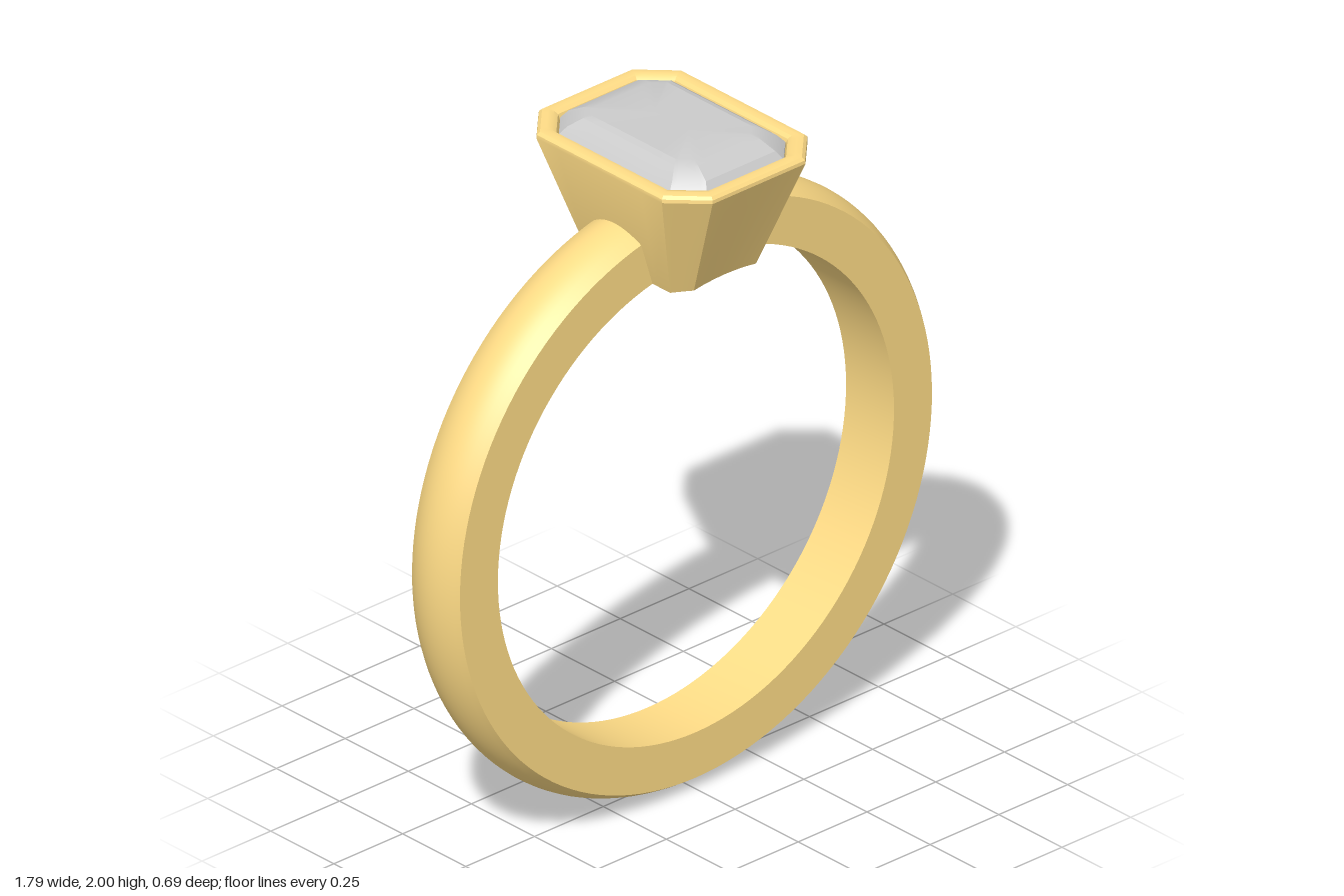
import * as THREE from 'three';
import { toCreasedNormals } from 'three/addons/utils/BufferGeometryUtils.js';

const BAND_Y = 0.897, INNER_R = 0.72, HALF_W = 0.095;
const SIDE_STEPS = 6;

// Rectangle with cut corners, counter-clockwise seen from above, each side subdivided.
// Without a y the loop follows the finger hole of the band.
function octagon([hx, hz, cut, y]) {
  const corners = [
    [hx, hz - cut], [hx, cut - hz], [hx - cut, -hz], [cut - hx, -hz],
    [-hx, cut - hz], [-hx, hz - cut], [cut - hx, hz], [hx - cut, hz],
  ];
  const loop = [];
  corners.forEach(([x0, z0], i) => {
    const [x1, z1] = corners[(i + 1) % 8];
    for (let k = 0; k < SIDE_STEPS; k++) {
      const t = k / SIDE_STEPS, x = x0 + (x1 - x0) * t, z = z0 + (z1 - z0) * t;
      loop.push([x, y ?? BAND_Y + Math.sqrt(INNER_R ** 2 - x * x), z]);
    }
  });
  return loop;
}

// Skin a list of cut-corner sections; closed joins the last back to the first.
function loft(sections, closed, crease) {
  const loops = sections.map(octagon), n = loops[0].length;
  const index = [], rows = closed ? loops.length : loops.length - 1;
  for (let i = 0; i < rows; i++) {
    const next = (i + 1) % loops.length;
    for (let j = 0; j < n; j++) {
      const k = (j + 1) % n;
      const a = i * n + j, b = i * n + k, c = next * n + k, d = next * n + j;
      index.push(a, b, c, a, c, d);
    }
  }
  const geometry = new THREE.BufferGeometry();
  geometry.setAttribute('position', new THREE.Float32BufferAttribute(loops.flat(2), 3));
  geometry.setIndex(index);
  return toCreasedNormals(geometry, crease);
}

// Domed band, left open where it runs into the bezel wall
function bandGeometry() {
  const profile = [new THREE.Vector2(INNER_R, -HALF_W)];
  for (let i = 0; i <= 12; i++) {
    const t = i / 6 - 1;
    profile.push(new THREE.Vector2(0.858 + 0.035 * (1 - t * t), t * HALF_W));
  }
  profile.push(new THREE.Vector2(INNER_R, HALF_W), new THREE.Vector2(INNER_R, -HALF_W));
  const gap = 0.175;
  const geometry = new THREE.LatheGeometry(profile, 128, gap, Math.PI * 2 - gap * 2);
  geometry.rotateX(-Math.PI / 2);
  geometry.translate(0, BAND_Y, 0);
  geometry.deleteAttribute('uv');
  geometry.deleteAttribute('normal');
  return toCreasedNormals(geometry, 0.5);
}

export function createModel() {
  const group = new THREE.Group();
  const gold = new THREE.MeshStandardMaterial({ color: 0xffdc86 });
  const grey = new THREE.MeshStandardMaterial({ color: 0xcccccc });
  const add = (name, geometry, material) => {
    const mesh = new THREE.Mesh(geometry, material);
    mesh.name = name;
    group.add(mesh);
  };

  add('band', bandGeometry(), gold);

  // Tapered hollow setting: outer wall, rounded rim, inner wall, curved underside
  // Each section: half width, half depth, corner cut, height
  add('bezel', loft([
    [0.158, 0.21, 0.045],
    [0.265, 0.345, 0.096, 1.945],
    [0.264, 0.344, 0.096, 1.955],
    [0.256, 0.336, 0.092, 1.963],
    [0.24, 0.32, 0.085, 1.966],
    [0.226, 0.306, 0.078, 1.963],
    [0.216, 0.296, 0.073, 1.955],
    [0.212, 0.292, 0.071, 1.943],
    [0.205, 0.285, 0.068, 1.9],
    [0.075, 0.125, 0.05],
  ], true, 0.45), gold);

  // Step-cut stone: keel, pavilion, girdle, crown steps and table
  add('gemstone', loft([
    [0, 0.08, 0, 1.72],
    [0.11, 0.19, 0.04, 1.8],
    [0.21, 0.29, 0.07, 1.925],
    [0.21, 0.29, 0.07, 1.947],
    [0.19, 0.272, 0.064, 1.97],
    [0.157, 0.225, 0.045, 1.994],
    [0.138, 0.2, 0.035, 2],
    [0, 0.07, 0, 2],
  ], false, 0.3), grey);

  return group;
}
